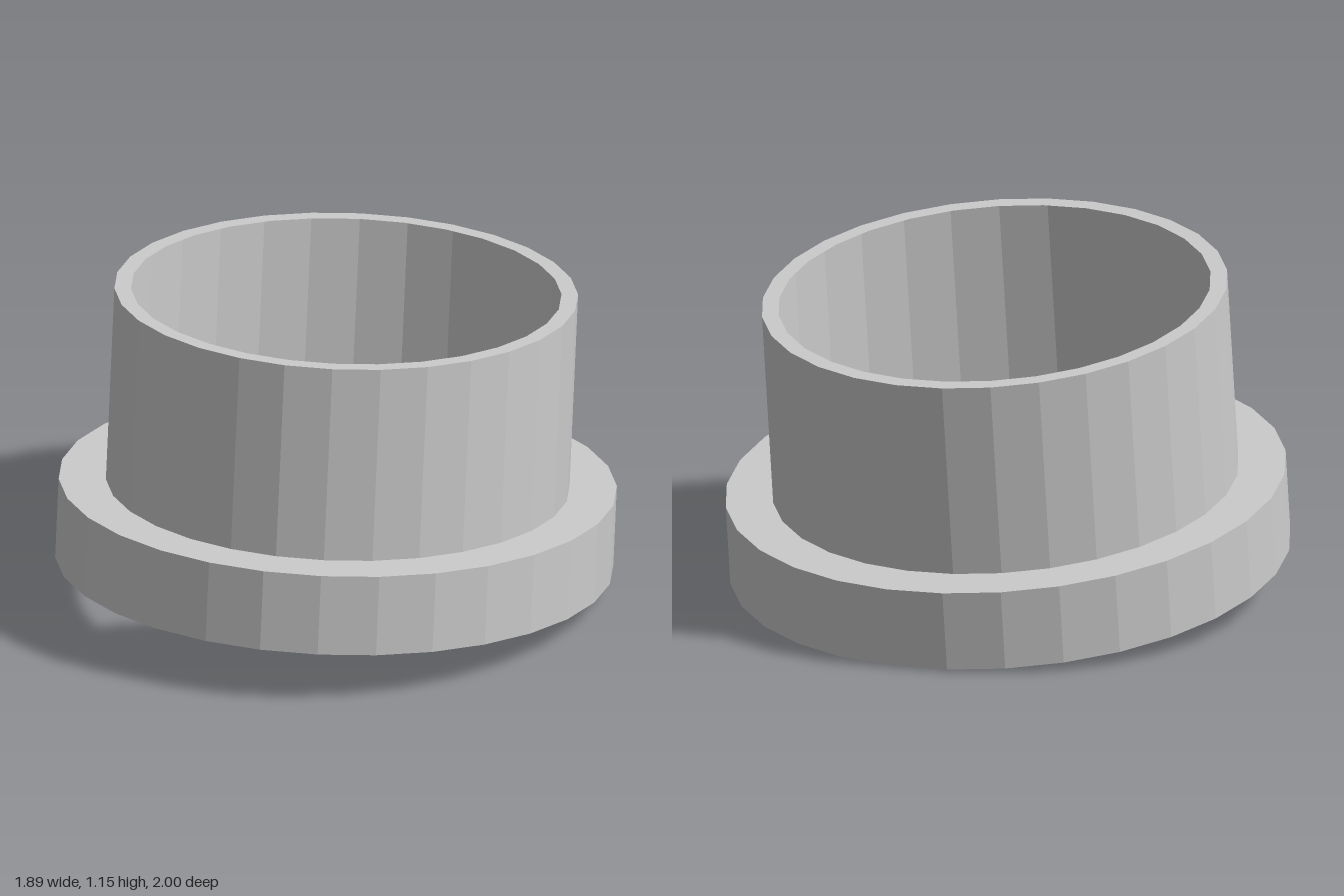
import * as THREE from 'three';

const SIDES = 30;
const OVAL = 0.958;      // width of the oval section relative to its depth
const TILT = 0.094;      // lean of the axis towards the back
const COLLAR_R = 0.992;
const COLLAR_H = 0.285;
const TUBE_R = 0.824;
const TOP = 0.979;

const material = new THREE.MeshStandardMaterial({
  color: 0xcccccc, flatShading: true, side: THREE.DoubleSide,
});

// Turns a profile of [radius, height] pairs into a thin oval shell
function shell(name, profile) {
  const points = profile.map(([r, y]) => new THREE.Vector2(r, y));
  const geometry = new THREE.LatheGeometry(points, SIDES).scale(OVAL, 1, 1);
  const mesh = new THREE.Mesh(geometry, material);
  mesh.name = name;
  return mesh;
}

export function createModel() {
  const fitting = new THREE.Group();
  fitting.name = 'tiltedFitting';

  // Hollow collar: thin lip underneath, outer wall, top shoulder
  fitting.add(shell('collar', [
    [0.81, 0], [COLLAR_R, 0], [COLLAR_R, COLLAR_H], [TUBE_R, COLLAR_H],
  ]));

  // Single-walled tube with a thin rim turned inwards at the top
  fitting.add(shell('tube', [
    [TUBE_R, COLLAR_H], [TUBE_R, TOP], [0.765, TOP],
  ]));

  // Lean back, lowest rim point on the ground
  fitting.rotation.x = -TILT;
  fitting.position.set(0, COLLAR_R * Math.sin(TILT), 0.0125);

  const model = new THREE.Group();
  model.name = 'collaredTube';
  model.add(fitting);
  return model;
}
